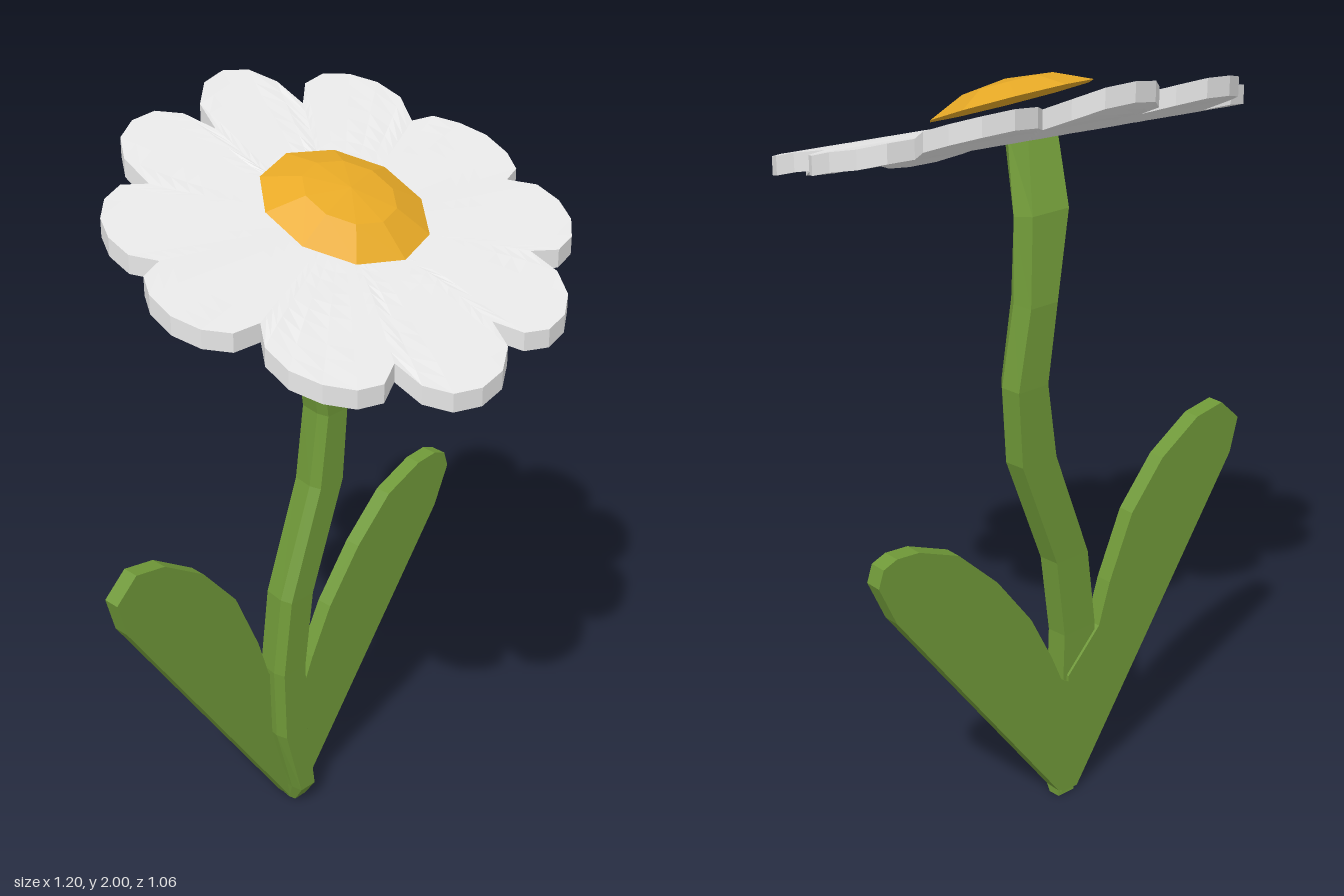
import * as THREE from 'three';

const material = (name, color) => {
  const m = new THREE.MeshStandardMaterial({ color, flatShading: true });
  m.name = name;
  return m;
};

// Joins rows of points (closed loops of equal length) into one skin.
function loft(rows) {
  const n = rows[0].length;
  const index = [];
  for (let r = 0; r < rows.length - 1; r++) {
    for (let a = 0; a < n; a++) {
      const b = (a + 1) % n;
      const p = r * n + a, q = r * n + b;
      index.push(p, q, p + n, q, q + n, p + n);
    }
  }
  const g = new THREE.BufferGeometry();
  g.setAttribute('position', new THREE.Float32BufferAttribute(rows.flat(2), 3));
  g.setIndex(index);
  g.computeVertexNormals();
  return g;
}

// Scalloped outline in x, z: a rounded lobe between each pair of notches.
function petalOutline() {
  const notches = [
    [0.235, -0.365], [0.455, -0.2], [0.48, 0.095], [0.31, 0.315], [0.06, 0.415],
    [-0.235, 0.39], [-0.42, 0.165], [-0.46, -0.115], [-0.295, -0.335], [-0.03, -0.395],
  ].map(([x, z]) => new THREE.Vector2(x, z));
  const depths = [0.135, 0.115, 0.13, 0.13, 0.125, 0.12, 0.13, 0.12, 0.145, 0.15];
  const steps = 6;
  const spread = 0.015;
  const points = [];
  notches.forEach((a, i) => {
    const b = notches[(i + 1) % notches.length];
    const along = b.clone().sub(a).normalize();
    const out = new THREE.Vector2(along.y, -along.x).multiplyScalar(depths[i] / 0.75);
    const lobe = new THREE.CubicBezierCurve(
      a,
      a.clone().add(out).addScaledVector(along, -spread),
      b.clone().add(out).addScaledVector(along, spread),
      b,
    );
    for (let s = 0; s < steps; s++) points.push(lobe.getPoint(s / steps));
  });
  return points;
}

// Tilted sheet of petals, bowed front to back with fine ripples.
function petalGeometry() {
  const outline = petalOutline();
  const rings = 14;
  const height = (x, z) => {
    const u = z - 0.18 * x;
    return 1.79 - 0.375 * z + 0.06 * x + 0.022 * Math.sin(u * 5.93) + 0.003 * Math.sin(u * 30);
  };
  const ring = (t, drop) => outline.map((p) => {
    const x = p.x * t, z = p.y * t;
    return [x, height(x, z) - drop, z];
  });
  const rows = [];
  for (let i = 0; i <= rings; i++) rows.push(ring(i / rings, 0));
  for (let i = rings; i >= 0; i--) rows.push(ring(i / rings, 0.046));
  return loft(rows);
}

// Six-sided stem swept through [x, y, z, half width, half depth].
function stemGeometry() {
  const section = [[-1, 0.3], [-0.85, 1], [0.45, 1], [1, 0.2], [0.9, -1], [-0.85, -1]];
  const stations = [
    [0, 0.0, -0.187, 0.03, 0.027],
    [-0.005, 0.06, -0.165, 0.04, 0.045],
    [-0.04, 0.27, -0.165, 0.06, 0.045],
    [-0.045, 0.48, -0.165, 0.06, 0.045],
    [-0.015, 0.7, -0.165, 0.06, 0.046],
    [0.1, 1.0, -0.168, 0.062, 0.046],
    [0.123, 1.2, -0.17, 0.053, 0.046],
    [0.085, 1.4, -0.162, 0.048, 0.048],
    [0.035, 1.6, -0.125, 0.065, 0.05],
    [-0.02, 1.77, -0.025, 0.052, 0.055],
  ];
  const loop = ([x, y, z, w, d], lean, size = 1) =>
    section.map(([u, v]) => [x + u * w * size, y - lean * v * d * size, z + v * d * size]);
  const last = stations.length - 1;
  // The upper end leans forward to meet the petals
  const leans = stations.map((s, i) => (i === last ? 0.35 : i === last - 1 ? 0.2 : 0));
  const rows = stations.map((s, i) => loop(s, leans[i]));
  rows.unshift(loop(stations[0], 0, 0));
  rows.push(loop(stations[last], 0, 0));
  return loft(rows);
}

// Flat leaf cut from an outline.
function leafGeometry(outline) {
  const shape = new THREE.Shape(outline.map(([x, y]) => new THREE.Vector2(x, y)));
  const g = new THREE.ExtrudeGeometry(shape, { depth: 0.045, bevelEnabled: false });
  g.translate(0, 0, -0.217);
  return g;
}

export function createModel() {
  const group = new THREE.Group();
  const green = material('leaf green', 0x6f9838);
  const white = material('petal white', 0xe8e8e8);
  const yellow = material('centre yellow', 0xf0b028);

  const add = (name, geometry, mat) => {
    const mesh = new THREE.Mesh(geometry, mat);
    mesh.name = name;
    group.add(mesh);
    return mesh;
  };

  add('stem', stemGeometry(), green);
  add('petals', petalGeometry(), white);

  // Faceted low dome
  const profile = [[0, 0], [0.207, 0], [0.115, 0.04], [0, 0.054]]
    .map(([r, y]) => new THREE.Vector2(r, y));
  const centre = add('flowerCentre', new THREE.LatheGeometry(profile, 10), yellow);
  centre.position.set(0, 1.832, 0.01);
  centre.rotation.x = 0.38;

  // The two leaves differ in height and reach
  add('rightLeaf', leafGeometry([
    [0.02, 0.01], [0.0, 0.36], [-0.105, 0.47], [-0.14, 0.585], [-0.215, 0.76],
    [-0.32, 0.885], [-0.445, 0.965], [-0.535, 0.98], [-0.6, 0.92], [-0.575, 0.825],
    [-0.035, 0.01],
  ]), green);
  add('leftLeaf', leafGeometry([
    [-0.03, 0.01], [0.03, 0.02], [0.55, 0.72], [0.6, 0.83], [0.585, 0.875],
    [0.545, 0.89], [0.48, 0.885], [0.36, 0.835], [0.24, 0.72], [0.13, 0.575],
    [0.06, 0.44], [0.025, 0.36], [-0.02, 0.33],
  ]), green);

  return group;
}
